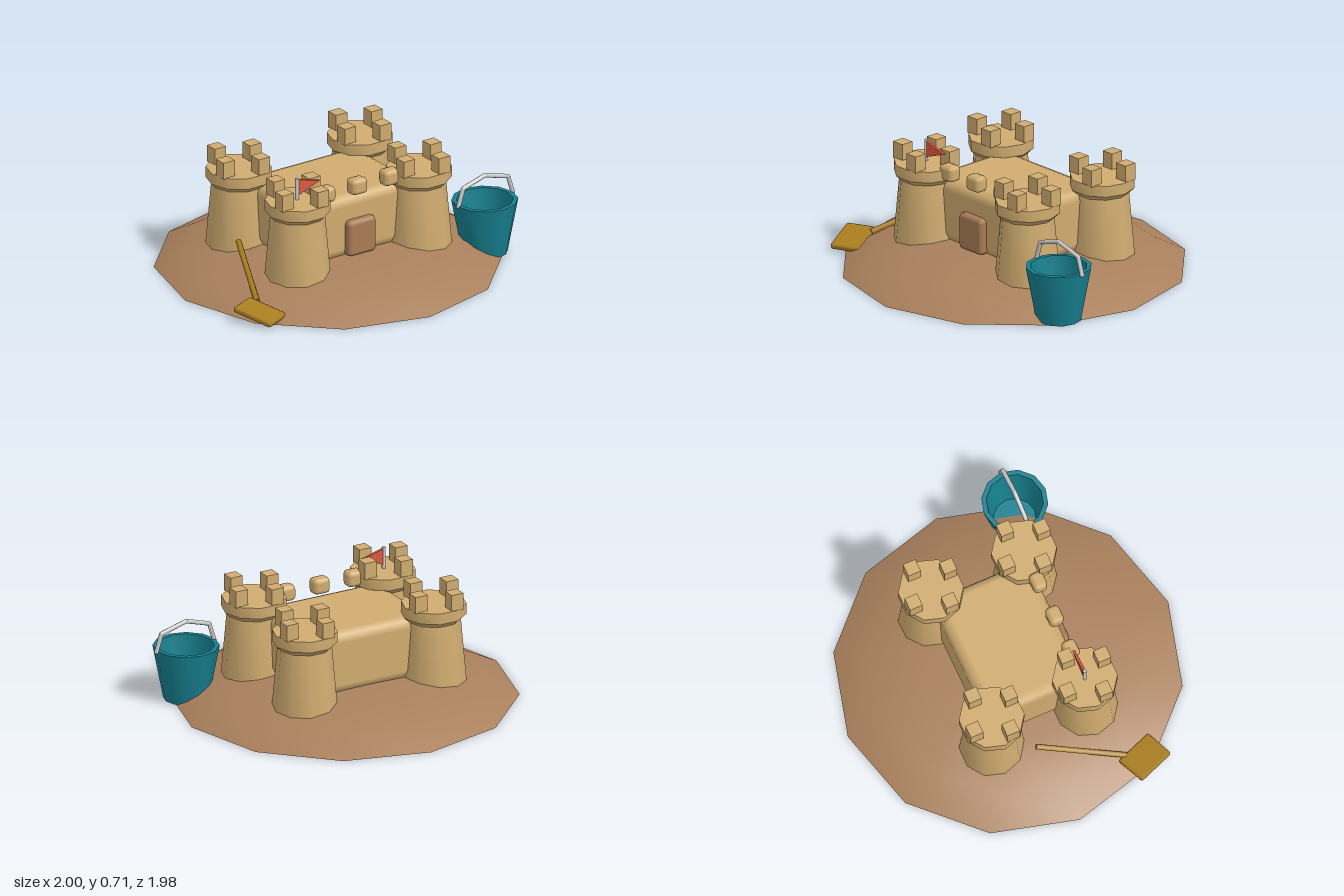
import * as THREE from 'three';
import { toCreasedNormals } from 'three/addons/utils/BufferGeometryUtils.js';
import { RoundedBoxGeometry } from 'three/addons/geometries/RoundedBoxGeometry.js';

const mat = (color) => new THREE.MeshStandardMaterial({ color });
const SAND = mat(0xd0ac70), MOUND = mat(0xa9805c), DOOR = mat(0xa97b55);
const TEAL = mat(0x17808f), GREY = mat(0xcccccc), RED = mat(0xdb5a40), MUSTARD = mat(0xa87d1e);

function add(parent, name, geometry, material, x = 0, y = 0, z = 0) {
  const mesh = new THREE.Mesh(geometry, material);
  mesh.name = name;
  mesh.position.set(x, y, z);
  parent.add(mesh);
  return mesh;
}

// Turned shape from [radius, height] pairs, smooth around and sharp at hard edges
function turned(points, sides) {
  const profile = points.map(([r, y]) => new THREE.Vector2(r, y));
  return toCreasedNormals(new THREE.LatheGeometry(profile, sides), 0.65);
}

// Straight rod between two points
function rod(parent, name, a, b, radius, material, sides = 6) {
  const mesh = add(parent, name, new THREE.CylinderGeometry(radius, radius, a.distanceTo(b), sides), material);
  mesh.position.copy(a).add(b).multiplyScalar(0.5);
  mesh.quaternion.setFromUnitVectors(new THREE.Vector3(0, 1, 0), b.clone().sub(a).normalize());
  return mesh;
}

const v = (x, y, z) => new THREE.Vector3(x, y, z);

function makeTower(x, z) {
  const tower = new THREE.Group();
  tower.name = 'tower';
  tower.position.set(x, 0, z);
  const body = turned([[0, 0.08], [0.19, 0.08], [0.155, 0.485], [0.186, 0.515], [0.186, 0.58], [0, 0.58]], 10);
  add(tower, 'towerBody', body.rotateY(Math.PI / 2), SAND);
  // four battlements, each a quarter turn from the last
  for (const [mx, mz] of [[0.133, -0.058], [0.058, 0.133], [-0.133, 0.058], [-0.058, -0.133]]) {
    add(tower, 'towerMerlon', new THREE.BoxGeometry(0.077, 0.1, 0.077), SAND, mx, 0.625, mz);
  }
  return tower;
}

function makeBucket() {
  const bucket = new THREE.Group();
  bucket.name = 'bucket';
  bucket.position.set(0.79, 0, 0.4);
  add(bucket, 'bucketShell', turned([[0, 0.002], [0.13, 0.002], [0.19, 0.32], [0.162, 0.32], [0.122, 0.035], [0, 0.035]], 12), TEAL);
  // bent wire handle
  const path = [[-0.185, 0.31], [-0.15, 0.42], [0, 0.465], [0.16, 0.42], [0.195, 0.31]].map(([x, y]) => v(x, y, 0));
  const handle = new THREE.Group();
  handle.name = 'bucketHandle';
  path.slice(1).forEach((p, i) => rod(handle, 'handleBar', path[i], p, 0.013, GREY, 8));
  path.slice(1, -1).forEach((p) => add(handle, 'handleBend', new THREE.SphereGeometry(0.013, 8, 6), GREY, p.x, p.y, p.z));
  bucket.add(handle);
  return bucket;
}

function makeShovel() {
  const shovel = new THREE.Group();
  shovel.name = 'shovel';
  rod(shovel, 'shovelHandle', v(-0.573, 0.23, -0.08), v(-0.775, 0.075, 0.385), 0.018, MUSTARD);
  const blade = add(shovel, 'shovelBlade', new RoundedBoxGeometry(0.18, 0.035, 0.25, 1, 0.014), MUSTARD, -0.823, 0.052, 0.48);
  blade.rotation.set(0.2, 0.42, 0, 'YXZ');
  return shovel;
}

function makeFlag() {
  const flag = new THREE.Group();
  flag.name = 'flag';
  flag.position.set(-0.428, 0, 0.285);
  rod(flag, 'flagPole', v(0, 0.55, 0), v(0, 0.708, 0), 0.011, GREY, 8);
  const pennant = new THREE.Shape([[0.008, 0.605], [0.153, 0.66], [0.008, 0.7]].map(([x, y]) => new THREE.Vector2(x, y)));
  add(flag, 'pennant', new THREE.ExtrudeGeometry(pennant, { depth: 0.016, bevelEnabled: false }), RED, 0, 0, -0.008);
  return flag;
}

export function createModel() {
  const model = new THREE.Group();
  model.name = 'sandcastle';

  // ground mound
  add(model, 'mound', turned([[0, 0], [0.99, 0], [0.795, 0.1], [0.5, 0.147], [0.25, 0.163], [0, 0.167]], 12), MOUND, -0.008);

  // keep with soft edges
  add(model, 'keep', new RoundedBoxGeometry(0.79, 0.375, 0.6, 1, 0.06), SAND, -0.006, 0.327, 0);

  // battlements and door on the front wall
  for (const x of [-0.233, -0.012, 0.212]) {
    add(model, 'wallMerlon', new RoundedBoxGeometry(0.107, 0.095, 0.085, 1, 0.026), SAND, x, 0.563, 0.285);
  }
  add(model, 'door', new RoundedBoxGeometry(0.19, 0.215, 0.07, 1, 0.024), DOOR, -0.01, 0.265, 0.308);

  // corner towers
  for (const x of [-0.425, 0.413]) {
    for (const z of [-0.288, 0.288]) model.add(makeTower(x, z));
  }

  model.add(makeFlag(), makeBucket(), makeShovel());
  return model;
}
